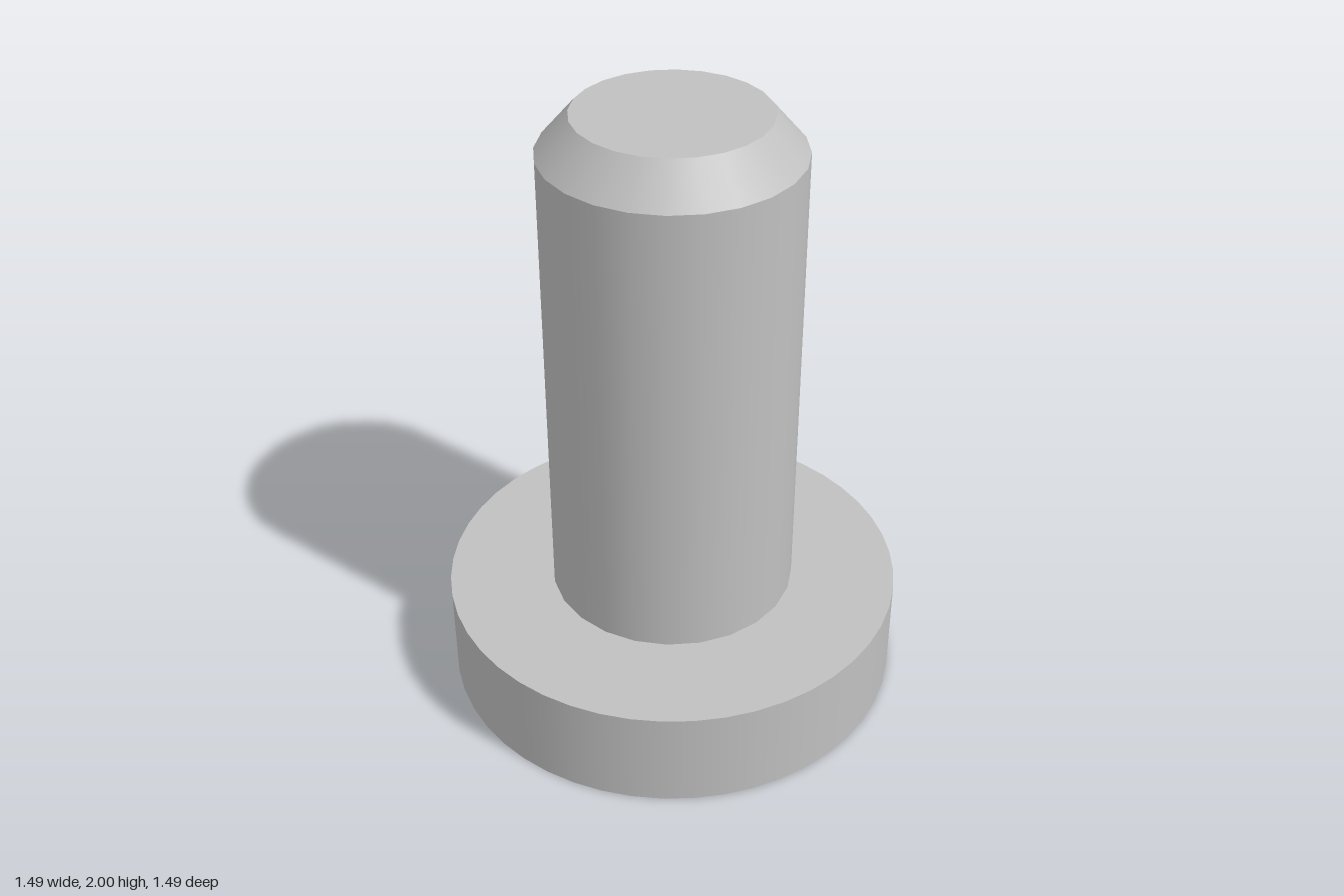
import * as THREE from 'three';

export function createModel() {
  const group = new THREE.Group();
  group.name = 'headedPin';
  const steel = new THREE.MeshStandardMaterial({ color: 0xc0c0c0 });
  steel.name = 'steel grey';

  // One smooth-sided round section between two heights
  const addPart = (name, geometry, y) => {
    const mesh = new THREE.Mesh(geometry, steel);
    mesh.name = name;
    mesh.position.y = y;
    group.add(mesh);
  };

  const headTop = 0.335, shankTop = 1.88, tipTop = 2;
  const headR = 0.747, shankR = 0.403, tipR = 0.3;

  // Flat round head
  addPart('head', new THREE.CylinderGeometry(headR, headR, headTop, 48), headTop / 2);

  // Straight shank, open where it meets the head and the tip
  addPart('shank', new THREE.CylinderGeometry(shankR, shankR, shankTop - headTop, 24, 1, true), (headTop + shankTop) / 2);

  // Chamfered tip and its flat end
  addPart('chamfer', new THREE.CylinderGeometry(tipR, shankR, tipTop - shankTop, 24, 1, true), (shankTop + tipTop) / 2);
  addPart('tipFace', new THREE.CircleGeometry(tipR, 24).rotateX(-Math.PI / 2), tipTop);

  return group;
}
